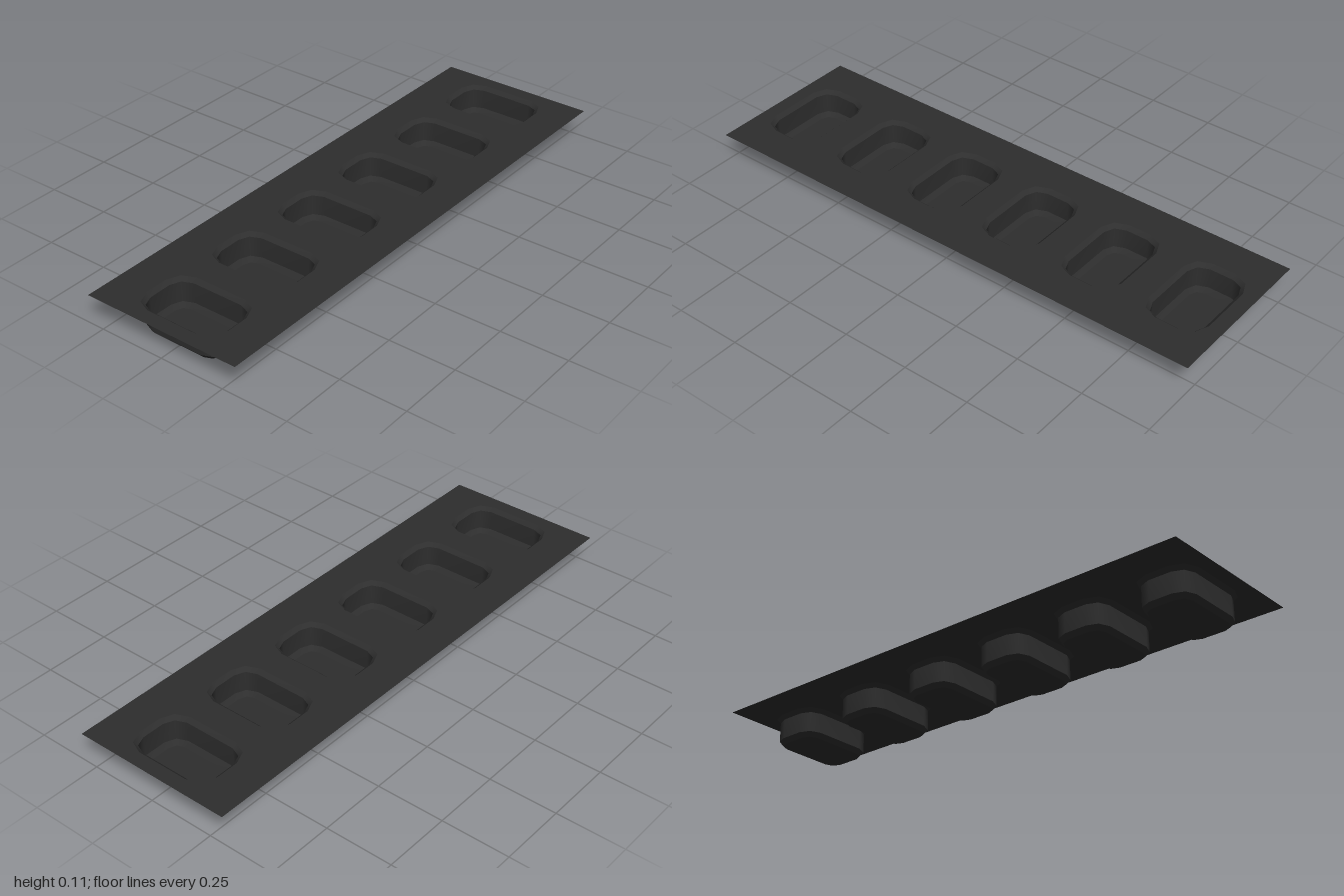
import * as THREE from 'three';

// Rounded-rectangle outline with faceted corners, as [x, z] points
function outline(hx, hz, r, steps = 2) {
  const pts = [];
  for (let q = 0; q < 4; q++) {
    const sx = q === 0 || q === 3 ? 1 : -1;
    const sz = q < 2 ? 1 : -1;
    for (let i = 0; i <= steps; i++) {
      const a = (q + i / steps) * Math.PI / 2;
      pts.push(new THREE.Vector2(sx * (hx - r) + r * Math.cos(a), sz * (hz - r) + r * Math.sin(a)));
    }
  }
  return pts;
}

// Closed ring of wall between two outlines, smooth around and sharp at its edges
function band(lower, upper) {
  const n = lower.pts.length, pos = [], idx = [];
  for (const ring of [lower, upper]) for (const p of ring.pts) pos.push(p.x, ring.y, p.y);
  for (let i = 0; i < n; i++) {
    const j = (i + 1) % n;
    idx.push(i, n + i, n + j, i, n + j, j);
  }
  const g = new THREE.BufferGeometry();
  g.setAttribute('position', new THREE.Float32BufferAttribute(pos, 3));
  g.setIndex(idx);
  g.computeVertexNormals();
  return g;
}

export function createModel() {
  const tray = new THREE.Group();
  tray.name = 'tray';
  const plastic = new THREE.MeshStandardMaterial({ color: 0x2e2e2e, side: THREE.DoubleSide });
  plastic.name = 'dark grey plastic';

  const add = (parent, name, geometry) => {
    const mesh = new THREE.Mesh(geometry, plastic);
    mesh.name = name;
    parent.add(mesh);
  };

  const top = 0.107, halfDepth = 0.305;
  const centres = [-5, -3, -1, 1, 3, 5].map(k => k / 6);

  // Cup cross-sections from floor to rim
  const rings = [
    { y: 0, pts: outline(0.083, 0.14, 0.04) },
    { y: 0.017, pts: outline(0.098, 0.155, 0.055) },
    { y: 0.093, pts: outline(0.098, 0.155, 0.055) },
    { y: top, pts: outline(0.113, 0.17, 0.07) },
  ];

  // Thin sheet with an opening for every cup
  const sheet = new THREE.Shape([[-1, -1], [1, -1], [1, 1], [-1, 1]]
    .map(([x, z]) => new THREE.Vector2(x, z * halfDepth)));
  for (const cx of centres) {
    sheet.holes.push(new THREE.Path(rings[3].pts.map(p => new THREE.Vector2(p.x + cx, p.y))));
  }
  add(tray, 'sheet', new THREE.ShapeGeometry(sheet).rotateX(-Math.PI / 2).translate(0, top, 0));

  // Cup parts shared by all six cups
  const bevel = band(rings[0], rings[1]);
  const wall = band(rings[1], rings[2]);
  const flare = band(rings[2], rings[3]);
  const floor = new THREE.ShapeGeometry(new THREE.Shape(rings[0].pts)).rotateX(-Math.PI / 2);

  centres.forEach((cx, i) => {
    const cup = new THREE.Group();
    cup.name = `cup${i + 1}`;
    cup.position.x = cx;
    add(cup, 'floor', floor);
    add(cup, 'bottomBevel', bevel);
    add(cup, 'wall', wall);
    add(cup, 'rimFlare', flare);
    tray.add(cup);
  });
  return tray;
}
